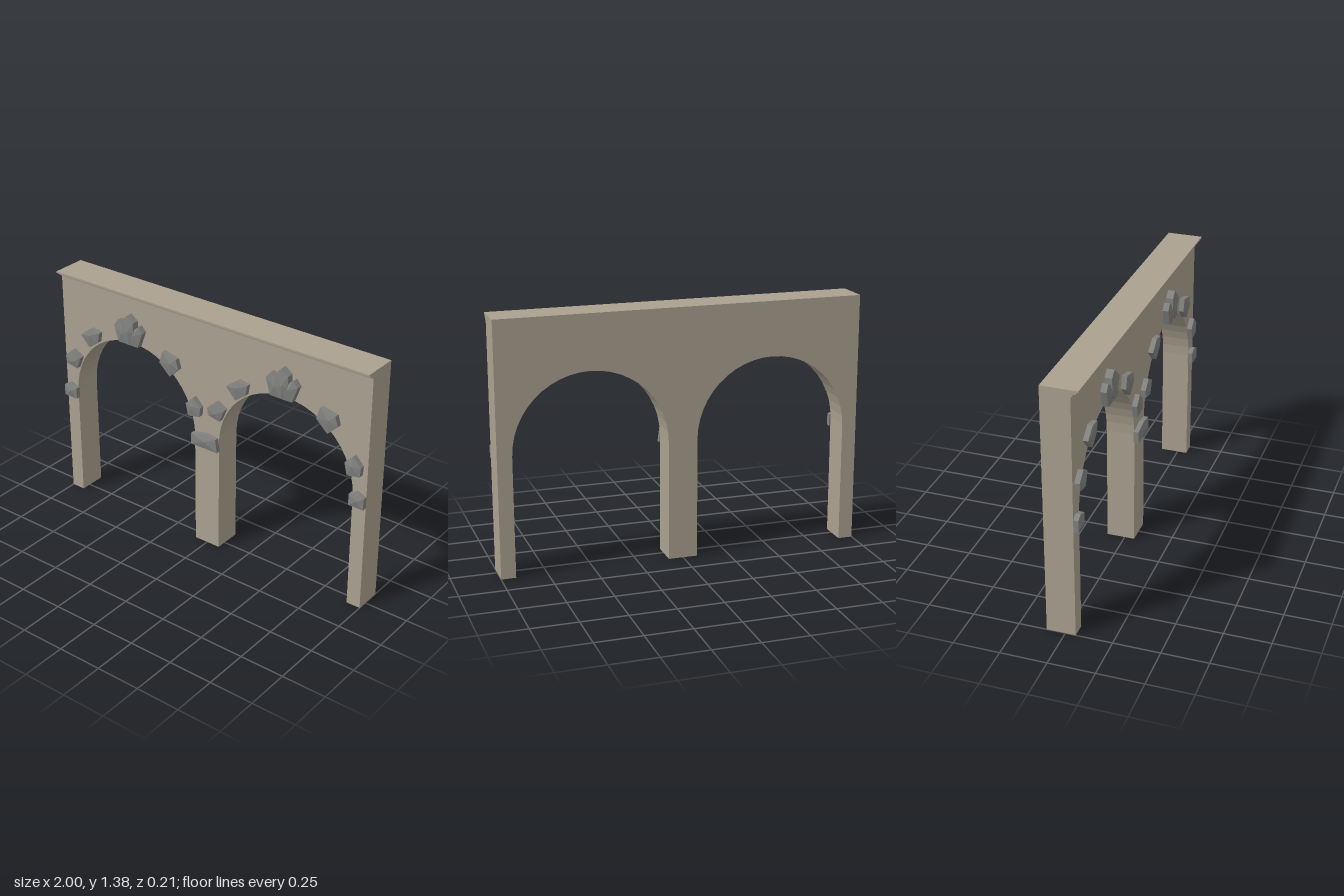
import * as THREE from 'three';

const DEPTH_BACK = -0.10, DEPTH_FRONT = 0.055;

// Faceted stone: a prism on a clockwise outline, its face rising to an off-centre peak [x, y, z]
function stoneGeometry(outline, rim, peak) {
  const v = [];
  const back = 0.054;
  const n = outline.length;
  const cx = outline.reduce((s, p) => s + p[0], 0) / n;
  const cy = outline.reduce((s, p) => s + p[1], 0) / n;
  for (let i = 0; i < n; i++) {
    const [ax, ay] = outline[i], [bx, by] = outline[(i + 1) % n];
    v.push(bx, by, rim, ax, ay, rim, cx + peak[0], cy + peak[1], peak[2]); // face
    v.push(ax, ay, back, ax, ay, rim, bx, by, rim); // side
    v.push(ax, ay, back, bx, by, rim, bx, by, back);
    v.push(ax, ay, back, bx, by, back, cx, cy, back); // back
  }
  const g = new THREE.BufferGeometry();
  g.setAttribute('position', new THREE.Float32BufferAttribute(v, 3));
  g.computeVertexNormals();
  return g;
}

export function createModel() {
  const group = new THREE.Group();
  const plaster = new THREE.MeshStandardMaterial({ color: 0xaba190 });
  plaster.name = 'plaster';
  const stone = new THREE.MeshStandardMaterial({ color: 0x828280, flatShading: true });
  stone.name = 'stone';

  const add = (name, geometry, material, x = 0) => {
    const mesh = new THREE.Mesh(geometry, material);
    mesh.name = name;
    mesh.position.x = x;
    group.add(mesh);
    return mesh;
  };

  // Wall with two round-headed openings between three piers
  const wall = new THREE.Shape();
  wall.moveTo(-1, 0);
  for (const cx of [-0.5, 0.5]) {
    wall.lineTo(cx - 0.42, 0);
    wall.lineTo(cx - 0.42, 0.66);
    wall.absarc(cx, 0.66, 0.42, Math.PI, 0, true);
    wall.lineTo(cx + 0.42, 0);
  }
  wall.lineTo(1, 0);
  wall.lineTo(1, 1.38);
  wall.lineTo(-1, 1.38);
  wall.closePath();
  const wallGeometry = new THREE.ExtrudeGeometry(wall, {
    depth: DEPTH_FRONT - DEPTH_BACK, bevelEnabled: false, curveSegments: 12,
  });
  wallGeometry.translate(0, 0, DEPTH_BACK);
  add('arcadeWall', wallGeometry, plaster);

  // Stepped cornice, profile in (z, y) swept along x
  const profile = new THREE.Shape([
    [0.05, 1.38], [0.05, 1.345], [0.064, 1.345], [0.067, 1.357],
    [0.083, 1.36], [0.085, 1.37], [0.095, 1.371], [0.095, 1.38],
  ].map(([z, y]) => new THREE.Vector2(-z, y)));
  const cornice = new THREE.ExtrudeGeometry(profile, { depth: 2, bevelEnabled: false });
  cornice.rotateY(Math.PI / 2);
  cornice.translate(-1, 0, 0);
  add('cornice', cornice, plaster);

  // Stones around one arch, relative to the arch centre line
  const archStones = [
    ['lowerLeftStone', [[-0.477, 0.873], [-0.424, 0.921], [-0.365, 0.889], [-0.397, 0.814], [-0.472, 0.83]], 0.083, [0.012, -0.01, 0.093]],
    ['upperLeftStone', [[-0.354, 1.039], [-0.285, 1.092], [-0.22, 1.082], [-0.231, 1.023], [-0.295, 0.975]], 0.083, [-0.01, 0.01, 0.093]],
    ['keystoneLeft', [[-0.102, 1.173], [-0.075, 1.21], [-0.045, 1.19], [-0.01, 1.12], [-0.01, 1.082], [-0.075, 1.082]], 0.088, [0.01, 0, 0.1]],
    ['keystoneRight', [[0.01, 1.12], [0.035, 1.18], [0.065, 1.205], [0.092, 1.173], [0.059, 1.082], [-0.01, 1.082]], 0.088, [-0.005, 0.01, 0.1]],
    ['keystoneCentre', [[-0.04, 1.222], [-0.005, 1.255], [0.037, 1.222], [0.037, 1.16], [0.0, 1.085], [-0.04, 1.14]], 0.095, [0.005, -0.015, 0.106]],
    ['upperRightStone', [[0.224, 1.108], [0.315, 1.087], [0.331, 1.033], [0.272, 0.975], [0.203, 1.039]], 0.083, [0.01, 0.008, 0.093]],
    ['lowerRightStone', [[0.379, 0.851], [0.428, 0.9], [0.476, 0.851], [0.471, 0.798], [0.396, 0.782]], 0.083, [-0.005, 0.01, 0.093]],
  ];
  for (const [name, outline, rim, peak] of archStones) {
    const geometry = stoneGeometry(outline, rim, peak);
    for (const x of [-0.5, 0.5]) add(name, geometry, stone, x);
  }

  // Impost stones at the spring line of each pier
  const imposts = [
    ['leftImpost', [[-1, 0.68], [-0.965, 0.7], [-0.912, 0.68], [-0.912, 0.615], [-1, 0.615]]],
    ['centreImpost', [[-0.088, 0.68], [0, 0.7], [0.075, 0.692], [0.085, 0.615], [-0.088, 0.615]]],
    ['rightImpost', [[0.912, 0.68], [0.95, 0.7], [1, 0.68], [1, 0.615], [0.912, 0.615]]],
  ];
  for (const [name, outline] of imposts) add(name, stoneGeometry(outline, 0.081, [0.01, 0.0, 0.092]), stone);

  return group;
}
